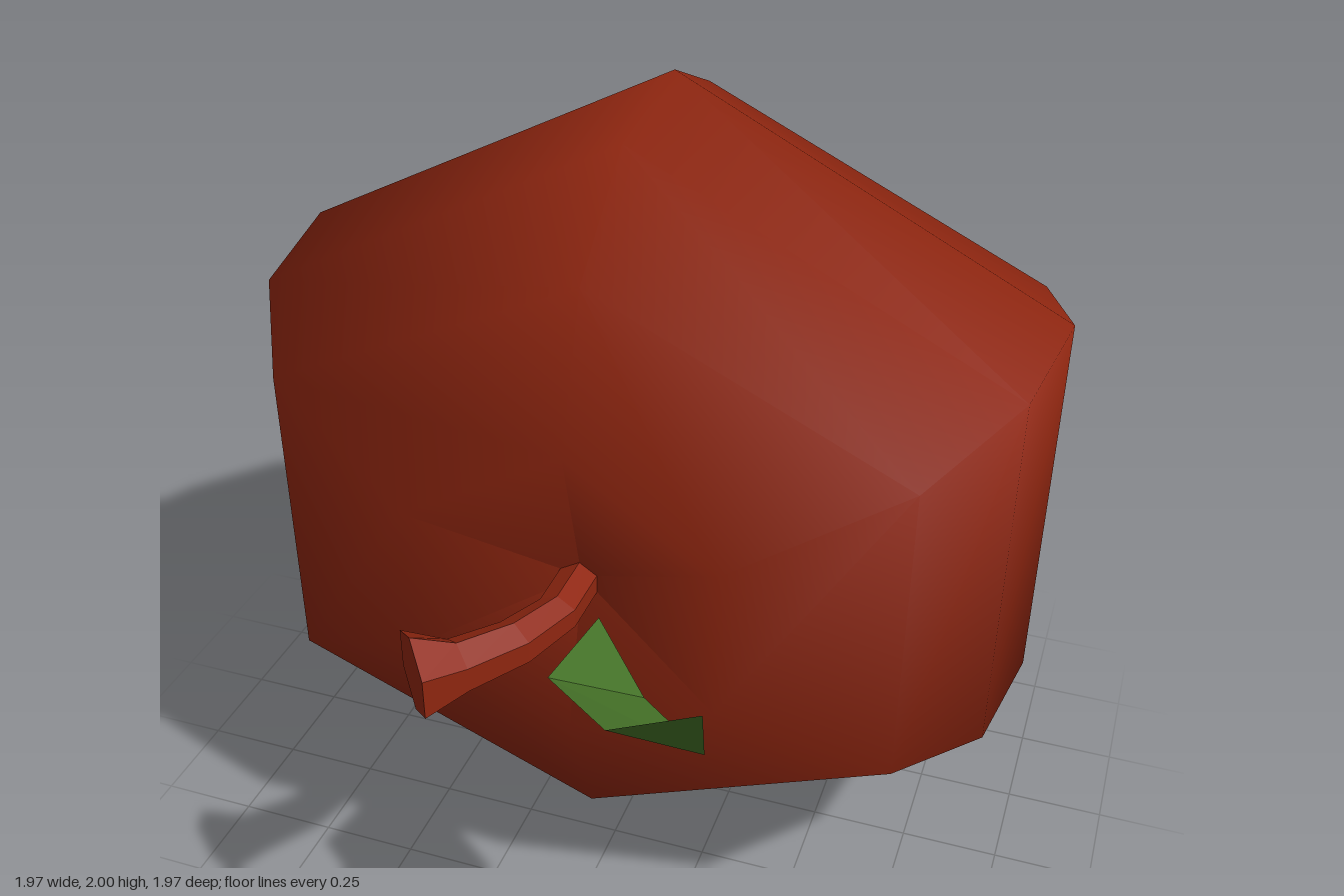
import * as THREE from 'three';

// Skin a list of equal-length point rings, running from front (+z) to back.
function loft(rings, flat) {
  const n = rings[0].length, index = [];
  for (let i = 0; i < rings.length - 1; i++) {
    for (let j = 0; j < n; j++) {
      const k = (j + 1) % n;
      const a = i * n + j, b = i * n + k, c = a + n, d = b + n;
      if (i < rings.length - 2) index.push(a, c, d); // last ring is a single point
      if (i > 0) index.push(a, d, b);                // first ring is a single point
      if (i === rings.length - 2) index.push(a, c, b);
    }
  }
  let g = new THREE.BufferGeometry();
  g.setAttribute('position', new THREE.Float32BufferAttribute(rings.flat(2), 3));
  g.setIndex(index);
  if (flat) g = g.toNonIndexed();
  g.computeVertexNormals();
  return g;
}

const SIDES = 6, STRETCH = 1.137;
const hexagon = (fn) => Array.from({ length: SIDES }, (_, j) => {
  const a = Math.PI / 2 + (j / SIDES) * Math.PI * 2;
  return fn(Math.cos(a), Math.sin(a), j % 3 === 0);
});

export function createModel() {
  const red = new THREE.MeshStandardMaterial({ color: 0x8f2610 });
  red.name = 'fruit red';
  const green = new THREE.MeshStandardMaterial({ color: 0x457228, side: THREE.DoubleSide });
  green.name = 'leaf green';

  const model = new THREE.Group();
  model.name = 'fruit';
  const add = (name, geometry, material) => {
    const mesh = new THREE.Mesh(geometry, material);
    mesh.name = name;
    model.add(mesh);
  };

  // Body: radius and z for the top/bottom corners, then for the side corners
  const profile = [
    [0, 0.45, 0, 0.45],
    [0.38, 0.55, 0.38, 0.605],
    [0.73, 0.42, 0.775, 0.45],
    [0.95, 0.15, 0.95, 0.15],
    [1, -0.21, 1, -0.21],
    [0.88, -0.49, 0.9, -0.5],
    [0.68, -0.77, 0.745, -0.78],
    [0.44, -0.97, 0.425, -0.99],
    [0, -0.88, 0, -0.88],
  ];
  add('body', loft(profile.map(([rTop, zTop, rSide, zSide]) =>
    hexagon((c, s, top) => {
      const r = top ? rTop : rSide;
      return [c * r * STRETCH, 1 + s * r, top ? zTop : zSide];
    }))), red);

  // Stem: x, z, radius and turn of each section, from the flared tip to the root
  const stem = [
    [-0.215, 0.905, 0, 0.87],
    [-0.215, 0.905, 0.098, 0.87],
    [-0.135, 0.845, 0.06, 0.75],
    [-0.05, 0.73, 0.052, 0.5],
    [0, 0.6, 0.046, 0.15],
    [0, 0.42, 0.046, 0],
    [0, 0.42, 0, 0],
  ];
  add('stem', loft(stem.map(([x, z, r, turn]) =>
    hexagon((c, s) => [
      x + c * r * STRETCH * Math.cos(turn),
      1 + s * r,
      z + c * r * STRETCH * Math.sin(turn),
    ])), true), red);

  // Leaf: a thin folded blade
  const blade = [
    [0.08, 0.97, 0.55], [0.2, 0.79, 0.58],
    [0.06, 0.99, 0.81], [0.39, 0.79, 0.72],
    [0.24, 1.0, 0.94], [0.46, 1.13, 0.975],
  ];
  let leaf = new THREE.BufferGeometry();
  leaf.setAttribute('position', new THREE.Float32BufferAttribute(blade.flat(), 3));
  leaf.setIndex([0, 2, 1, 2, 3, 1, 2, 4, 3, 4, 5, 3]);
  leaf = leaf.toNonIndexed();
  leaf.computeVertexNormals();
  add('leaf', leaf, green);

  return model;
}
